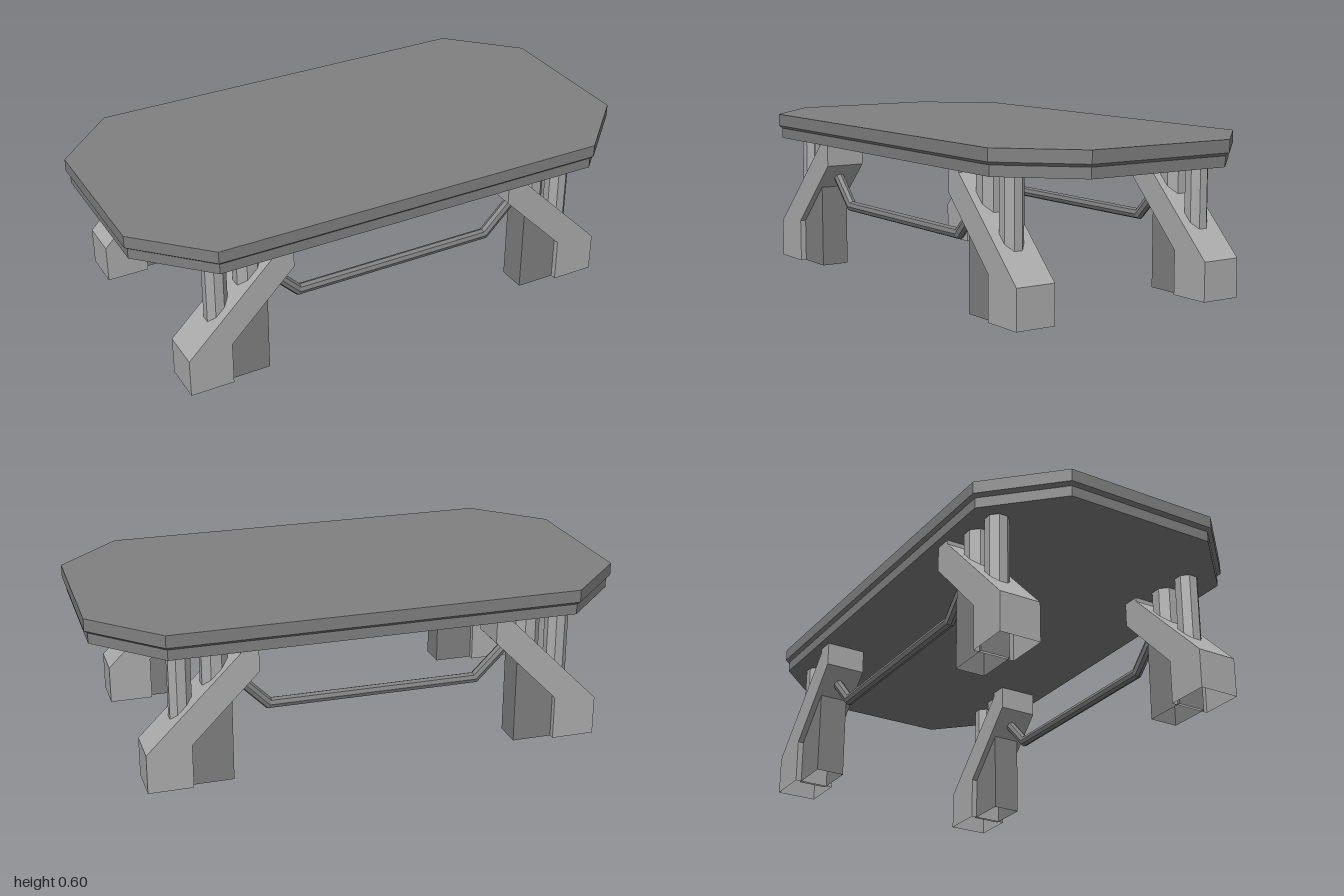
import * as THREE from 'three';

const mat = (name, color) => new THREE.MeshStandardMaterial({ name, color, flatShading: true, side: THREE.DoubleSide });

// Lofted octagonal slab: each ring is [y, half x, half z, corner x, corner z]
function slab(rings) {
  const loops = rings.map(([y, X, Z, cx, cz]) =>
    [[X, cz], [X, -cz], [cx, -Z], [-cx, -Z], [-X, -cz], [-X, cz], [-cx, Z], [cx, Z]].map(([x, z]) => [x, y, z]));
  const out = [];
  const tri = (a, b, c) => out.push(...a, ...b, ...c);
  for (let r = 0; r < loops.length - 1; r++) {
    for (let i = 0; i < 8; i++) {
      const j = (i + 1) % 8, lo = loops[r], hi = loops[r + 1];
      tri(lo[i], lo[j], hi[j]);
      tri(lo[i], hi[j], hi[i]);
    }
  }
  const bottom = loops[0], top = loops[loops.length - 1];
  for (let i = 1; i < 7; i++) {
    tri(top[0], top[i], top[i + 1]);
    tri(bottom[0], bottom[i + 1], bottom[i]);
  }
  const g = new THREE.BufferGeometry();
  g.setAttribute('position', new THREE.Float32BufferAttribute(out, 3));
  g.computeVertexNormals();
  return g;
}

// Side profile extruded across z, left open where it stands on the floor
function openProfile(points, width) {
  const shape = new THREE.Shape(points.map(([x, y]) => new THREE.Vector2(x, y)));
  const src = new THREE.ExtrudeGeometry(shape, { depth: width, bevelEnabled: false });
  const p = src.attributes.position, out = [];
  for (let i = 0; i < p.count; i += 3) {
    if ([0, 1, 2].every(k => p.getY(i + k) < 1e-4)) continue;
    for (let k = 0; k < 3; k++) out.push(p.getX(i + k), p.getY(i + k), p.getZ(i + k) - width / 2);
  }
  const g = new THREE.BufferGeometry();
  g.setAttribute('position', new THREE.Float32BufferAttribute(out, 3));
  g.computeVertexNormals();
  return g;
}

// Octagonal post with flats facing the axes
function post(width, bottom, top) {
  const r = width / 2 / Math.cos(Math.PI / 8);
  return new THREE.CylinderGeometry(r, r, top - bottom, 8).rotateY(Math.PI / 8).translate(0, (top + bottom) / 2, 0);
}

// Bar with mitred bends: a cylinder whose rings are moved onto the path
function bentBar(radius) {
  const path = [[-0.51, 0.373], [-0.392, 0.255], [0.392, 0.255], [0.51, 0.373]];
  const up = [[0.707, 0.707], [0.414, 1], [-0.414, 1], [-0.707, 0.707]];
  const g = new THREE.CylinderGeometry(radius, radius, 1, 8, 3);
  const p = g.attributes.position;
  for (let i = 0; i < p.count; i++) {
    const k = Math.round((p.getY(i) + 0.5) * 3), d = -p.getX(i);
    p.setXYZ(i, path[k][0] + up[k][0] * d, path[k][1] + up[k][1] * d, p.getZ(i));
  }
  g.computeVertexNormals();
  return g;
}

export function createModel() {
  const model = new THREE.Group();
  model.name = 'table';
  const dark = mat('dark grey', 0x808080);
  const light = mat('light grey', 0xacacac);

  const add = (parent, name, geometry, material, x = 0, z = 0) => {
    const m = new THREE.Mesh(geometry, material);
    m.name = name;
    m.position.set(x, 0, z);
    parent.add(m);
  };

  // Table top with a stepped rim
  add(model, 'tableTop', slab([
    [0.504, 0.987, 0.523, 0.753, 0.288],
    [0.543, 0.987, 0.523, 0.753, 0.288],
    [0.554, 1, 0.535, 0.76, 0.295],
    [0.6, 1, 0.535, 0.76, 0.295],
  ]), dark);

  // Frame sits slightly off the centre of the top
  const frame = new THREE.Group();
  frame.name = 'frame';
  frame.position.set(-0.0125, 0, -0.01);
  model.add(frame);

  const strut = openProfile([
    [-0.852, 0], [-0.688, 0], [-0.688, 0.165], [-0.4425, 0.413],
    [-0.4425, 0.506], [-0.508, 0.506], [-0.508, 0.488], [-0.852, 0.146],
  ], 0.155);
  const brace = openProfile([[-0.7, 0], [-0.537, 0], [-0.537, 0.33], [-0.7, 0.17]], 0.11);
  const outerPost = post(0.08, 0.225, 0.506);
  const innerPost = post(0.094, 0.35, 0.506);
  const bar = bentBar(0.02);

  for (const z of [0.4075, -0.4075]) {
    for (const side of [-1, 1]) {
      const leg = new THREE.Group();
      leg.name = side < 0 ? 'rightLeg' : 'leftLeg';
      leg.position.z = z;
      leg.rotation.y = side < 0 ? 0 : Math.PI;
      add(leg, 'strut', strut, light);
      add(leg, 'footBrace', brace, dark);
      add(leg, 'outerPost', outerPost, light, -0.712);
      add(leg, 'innerPost', innerPost, light, -0.588);
      frame.add(leg);
    }
    // Bar joining the two legs of each long side
    add(frame, 'crossBar', bar, dark, 0, z);
  }
  return model;
}
